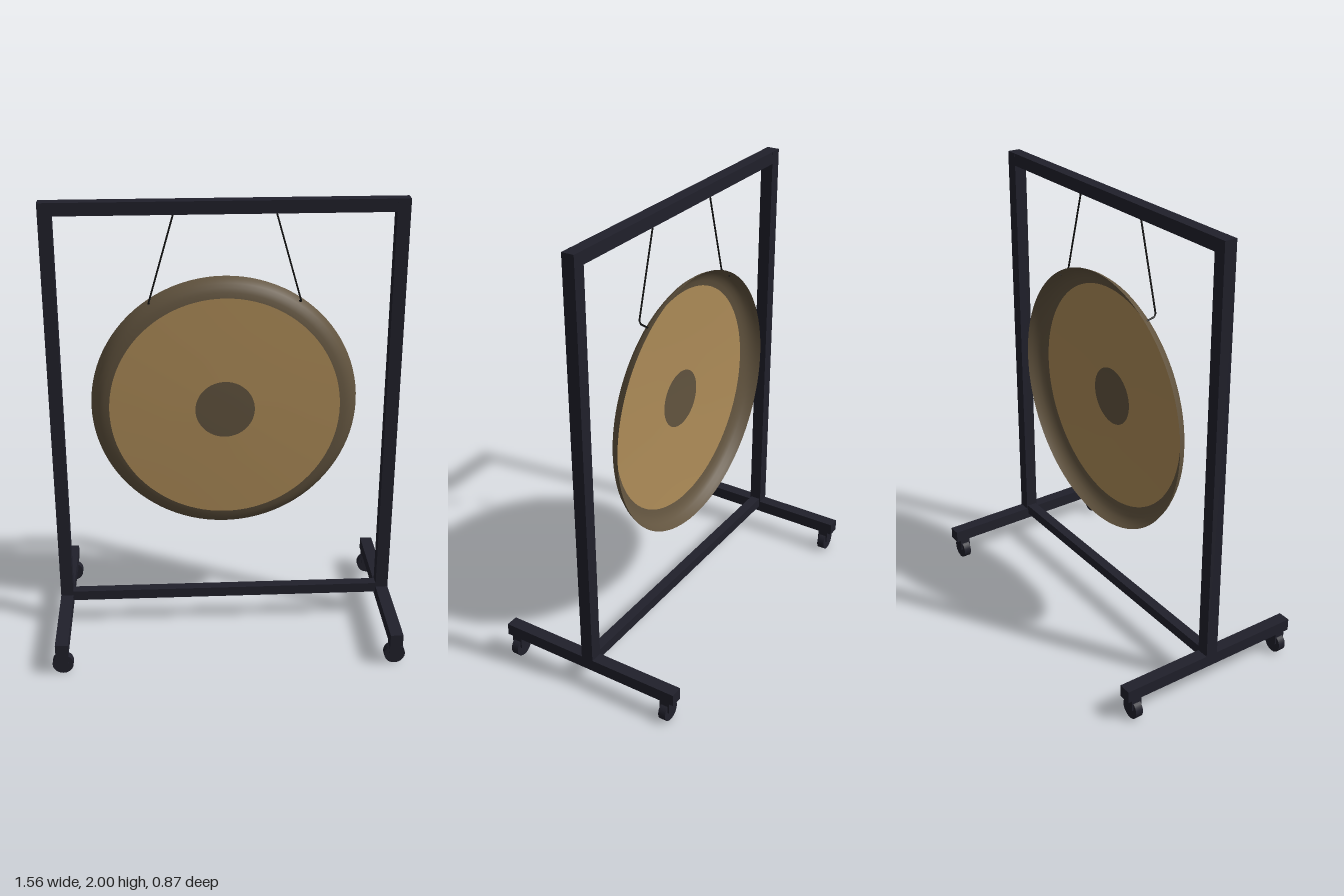
import * as THREE from 'three';

export function createModel() {
  const group = new THREE.Group();
  group.name = 'gongOnStand';

  const mat = (name, color, side = THREE.FrontSide) => {
    const m = new THREE.MeshStandardMaterial({ color, side });
    m.name = name;
    return m;
  };
  const frameMat = mat('darkFrame', 0x20202b);
  const bronze = mat('bronze', 0xae8c58, THREE.DoubleSide);
  const darkBronze = mat('darkBronze', 0x62543f, THREE.DoubleSide);
  const cordMat = mat('blackCord', 0x141414);

  const add = (name, geometry, material, x = 0, y = 0, z = 0, parent = group) => {
    const mesh = new THREE.Mesh(geometry, material);
    mesh.name = name;
    mesh.position.set(x, y, z);
    parent.add(mesh);
    return mesh;
  };
  const box = (name, w, h, d, x, y, z) =>
    add(name, new THREE.BoxGeometry(w, h, d), frameMat, x, y, z);

  // Frame rails
  const postX = 0.733;
  box('topBar', 1.41, 0.055, 0.055, 0, 1.9725, 0);
  box('bottomBar', 1.41, 0.046, 0.046, 0, 0.153, 0);

  for (const s of [-1, 1]) {
    const side = s > 0 ? 'left' : 'right';
    box(side + 'Post', 0.056, 1.87, 0.056, s * postX, 1.065, 0);
    box(side + 'Foot', 0.056, 0.055, 0.87, s * postX, 0.1325, 0);

    // Casters, with the wheels facing front and back
    for (const e of [-1, 1]) {
      const end = e > 0 ? 'Front' : 'Back';
      box(side + end + 'CasterFork', 0.05, 0.055, 0.048, s * postX, 0.0785, e * 0.39);
      const wheel = new THREE.CylinderGeometry(0.046, 0.046, 0.034, 24).rotateX(Math.PI / 2);
      add(side + end + 'CasterWheel', wheel, frameMat, s * postX, 0.046, e * 0.39);
    }

    // Hanging cord, turning back into the gong rim at its lower end
    const path = new THREE.CurvePath();
    const points = [[0.21, 1.95, 0], [0.323, 1.56, 0], [0.32, 1.548, -0.045]]
      .map(([x, y, z]) => new THREE.Vector3(s * x, y, z));
    path.add(new THREE.LineCurve3(points[0], points[1]));
    path.add(new THREE.LineCurve3(points[1], points[2]));
    add(side + 'Cord', new THREE.TubeGeometry(path, 24, 0.0042, 6), cordMat);
  }

  // Gong: a thin open shell turned around the z axis
  const gong = new THREE.Group();
  gong.name = 'gong';
  gong.position.y = 1.073;
  group.add(gong);
  const turned = (name, profile, material) => {
    const points = profile.map(([r, z]) => new THREE.Vector2(r, z));
    add(name, new THREE.LatheGeometry(points, 96).rotateX(Math.PI / 2), material, 0, 0, 0, gong);
  };
  turned('gongRim', [[0.585, -0.064], [0.577, -0.045], [0.564, -0.027], [0.548, -0.014],
    [0.528, -0.005], [0.505, 0]], darkBronze);
  turned('gongFace', [[0.505, 0], [0.38, 0.004], [0.25, 0.007], [0.13, 0.009]], bronze);
  turned('gongCentre', [[0.13, 0.009], [0.07, 0.01], [0, 0.01]], darkBronze);

  return group;
}
